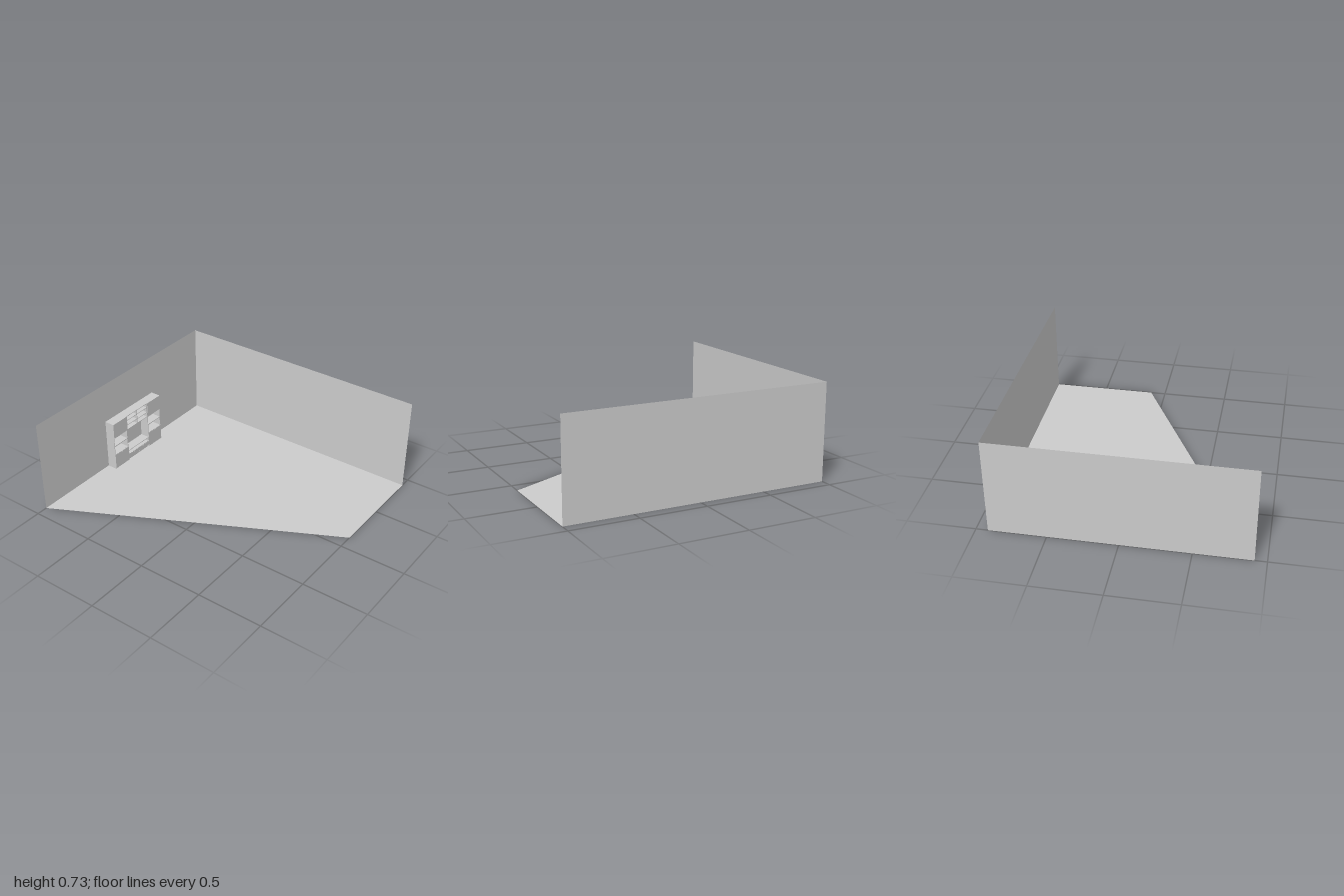
import * as THREE from 'three';

const material = new THREE.MeshStandardMaterial({ color: 0xcccccc, flatShading: true });
const sheetMaterial = new THREE.MeshStandardMaterial({ color: 0xcccccc, side: THREE.DoubleSide });

// Box given by its limits on each axis
function slab(group, name, [x0, x1], [y0, y1], [z0, z1]) {
  const mesh = new THREE.Mesh(new THREE.BoxGeometry(x1 - x0, y1 - y0, z1 - z0), material);
  mesh.position.set((x0 + x1) / 2, (y0 + y1) / 2, (z0 + z1) / 2);
  mesh.name = name;
  group.add(mesh);
}

function sheet(group, name, geometry) {
  const mesh = new THREE.Mesh(geometry, sheetMaterial);
  mesh.name = name;
  group.add(mesh);
}

const T = 0.005; // board thickness
const BACK = -0.998;

// Side column: closed cupboards above and below two open shelves
function sideColumn(name, x0, x1) {
  const g = new THREE.Group();
  g.name = name;
  const front = -0.917, z = [BACK, front - 0.004];
  const inner = [x0 + T, x1 - T];
  slab(g, 'sidePanelRight', [x0, x0 + T], [0, 0.407], z);
  slab(g, 'sidePanelLeft', [x1 - T, x1], [0, 0.407], z);
  slab(g, 'backPanel', inner, [0, 0.407], [BACK, BACK + 0.003]);
  for (const y of [0.003, 0.127, 0.204, 0.282, 0.402]) slab(g, 'shelf', inner, [y, y + T], z);
  const doorZ = [front - 0.004, front];
  slab(g, 'upperDoor', [x0, x1], [0.283, 0.407], doorZ);
  slab(g, 'lowerDoor', [x0, x1], [0.005, 0.131], doorZ);
  const mid = (x0 + x1) / 2;
  slab(g, 'handle', [mid - 0.01, mid + 0.01], [0.125, 0.128], [front, front + 0.003]);
  return g;
}

// Centre: open shelves on top, a wide niche, and a low drawer bench
function centreUnit(x0, x1) {
  const g = new THREE.Group();
  g.name = 'centreUnit';
  const front = -0.921, mid = (x0 + x1) / 2, z = [BACK, front];
  slab(g, 'backPanel', [x0, x1], [0.02, 0.407], [BACK, BACK + 0.003]);
  for (const y of [0.282, 0.322, 0.365, 0.402]) slab(g, 'topShelf', [x0, x1], [y, y + T], z);
  for (const x of [x0, mid - T / 2, x1 - T]) slab(g, 'topDivider', [x, x + T], [0.282, 0.407], z);
  for (const y of [0.015, 0.05, 0.084]) slab(g, 'benchShelf', [x0, x1], [y, y + T], z);
  for (const x of [x0, x1 - T]) slab(g, 'benchEnd', [x, x + T], [0.015, 0.089], z);
  for (const [a, b] of [[x0 + 0.002, mid - 0.001], [mid + 0.001, x1 - 0.002]]) {
    slab(g, 'drawerFront', [a, b], [0.018, 0.052], [front - 0.004, front + 0.001]);
    const c = (a + b) / 2;
    slab(g, 'drawerHandle', [c - 0.01, c + 0.01], [0.046, 0.049], [front, front + 0.003]);
  }
  slab(g, 'plinth', [x0 + 0.01, x1 - 0.01], [0, 0.015], [BACK, front - 0.008]);
  return g;
}

export function createModel() {
  const model = new THREE.Group();
  const W = 0.915, H = 0.725;

  // Floor with one slanted edge
  const outline = [[-W, 1], [0.117, -1], [W, -1], [W, 1]].map(([x, y]) => new THREE.Vector2(x, y));
  sheet(model, 'floor', new THREE.ShapeGeometry(new THREE.Shape(outline)).rotateX(-Math.PI / 2));

  // Two walls meeting in the back corner
  sheet(model, 'backWall', new THREE.PlaneGeometry(2 * W, H).translate(0, H / 2, -1));
  sheet(model, 'sideWall', new THREE.PlaneGeometry(2, H).rotateY(-Math.PI / 2).translate(W, H / 2, 0));

  // Wall unit
  const unit = new THREE.Group();
  unit.name = 'wallUnit';
  unit.add(sideColumn('rightColumn', -0.222, -0.066));
  unit.add(centreUnit(-0.066, 0.178));
  unit.add(sideColumn('leftColumn', 0.178, 0.331));
  model.add(unit);
  return model;
}
